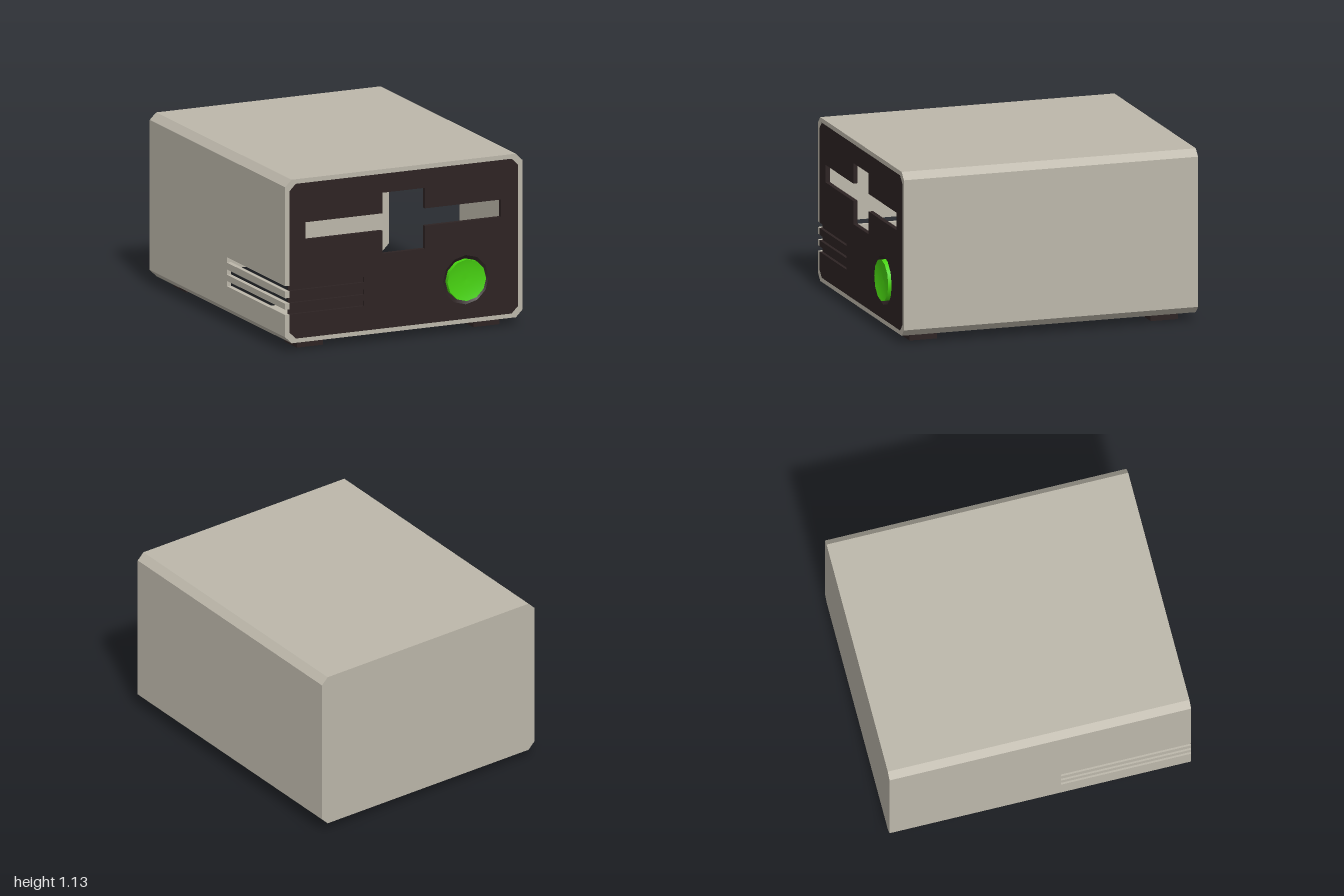
import * as THREE from 'three';

const beige = new THREE.MeshStandardMaterial({ name: 'beige casing', color: 0xbcb7aa });
const dark = new THREE.MeshStandardMaterial({ name: 'dark plastic', color: 0x2d2323 });
const green = new THREE.MeshStandardMaterial({ name: 'green button', color: 0x48d411 });

const FRONT = 0.985, BACK = -1, VENT_END = 0.13;
const W = 0.84, IN = 0.81; // outer and inner half widths
const vents = [[0.245, 0.28], [0.32, 0.355], [0.4, 0.435]];
const button = { x: 0.44, y: 0.34, r: 0.137, ring: 0.162, sides: 12 };

// Chamfered rectangle, clockwise from the upper end of the left edge
const octagon = (w, y0, y1, c = 0.045) => [
  [-w, y1 - c], [-w + c, y1], [w - c, y1], [w, y1 - c],
  [w, y0 + c], [w - c, y0], [-w + c, y0], [-w, y0 + c],
];
const rect = (x0, x1, y0, y1) => [[x0, y0], [x1, y0], [x1, y1], [x0, y1]];
const toVectors = (pts) => pts.map(([x, y]) => new THREE.Vector2(x, y));

// Prism of an outline with holes, between two depths
function prism(outline, holes, z0, z1) {
  const shape = new THREE.Shape(toVectors(outline));
  shape.holes = holes.map((h) => new THREE.Path(toVectors(h)));
  return new THREE.ExtrudeGeometry(shape, { depth: z1 - z0, bevelEnabled: false }).translate(0, 0, z0);
}

// Surface of revolution about z, placed at the button
function turned(points) {
  return new THREE.LatheGeometry(toVectors(points), button.sides)
    .rotateX(Math.PI / 2).translate(button.x, button.y, 0);
}

export function createModel() {
  const group = new THREE.Group();
  const add = (name, geometry, material) => {
    const mesh = new THREE.Mesh(geometry, material);
    mesh.name = name;
    group.add(mesh);
    return mesh;
  };
  const outer = octagon(W, 0.055, 1.13);
  const inner = octagon(IN, 0.083, 1.1);

  // Hollow casing: closed back, full sleeve, then a front sleeve open where the vents are
  add('backWall', prism(outer, [], BACK, BACK + 0.03), beige);
  add('rearSleeve', prism(outer, [inner], BACK + 0.03, VENT_END), beige);
  const low = vents[0][0], high = vents[2][1];
  add('frontSleeve', prism([
    [-W, high], ...outer, [-W, low], [-IN, low], ...[...inner].reverse(), [-IN, high],
  ], [], VENT_END, FRONT), beige);
  for (let i = 0; i < 2; i++) {
    add('ventBar', prism(rect(-W, -IN, vents[i][1], vents[i + 1][0]), [], VENT_END, FRONT), beige);
  }

  // Front panel: cross-shaped slot through both layers, vent grooves in the front layer only
  const slot = [
    [-0.695, 0.725], [-0.15, 0.725], [-0.15, 0.575], [0.15, 0.575], [0.15, 0.725], [0.69, 0.725],
    [0.69, 0.84], [0.15, 0.84], [0.15, 0.975], [-0.15, 0.975], [-0.15, 0.84], [-0.695, 0.84],
  ];
  const grooves = vents.flatMap(([b, t]) => [[-IN, b], [-0.28, b], [-0.28, t], [-IN, t]]);
  const ringHole = Array.from({ length: button.sides }, (_, i) => {
    const a = (i / button.sides) * Math.PI * 2;
    return [button.x + button.ring * Math.cos(a), button.y + button.ring * Math.sin(a)];
  });
  add('panelBacking', prism(inner, [slot], FRONT - 0.03, FRONT - 0.02), dark);
  add('frontPanel', prism([...inner, ...grooves], [slot, ringHole], FRONT - 0.02, FRONT), dark);

  // Button with a shallow dished face, set in a sloping recess
  add('buttonRecess', turned([[button.ring, FRONT], [button.r, FRONT - 0.018]]), dark);
  add('buttonSide', turned([[button.r, FRONT - 0.02], [button.r, 1]]), green);
  add('buttonFace', turned([[button.r, 1], [0.1, 0.991], [0.05, 0.986], [0, 0.984]]), green);

  // Hollow square feet
  const foot = prism(rect(-0.0925, 0.0925, -0.0925, 0.0925), [rect(-0.053, 0.053, -0.053, 0.053)], 0, 0.055)
    .rotateX(-Math.PI / 2);
  for (const x of [-0.625, 0.625]) {
    for (const z of [-0.815, 0.812]) add('foot', foot, dark).position.set(x, 0, z);
  }
  return group;
}
